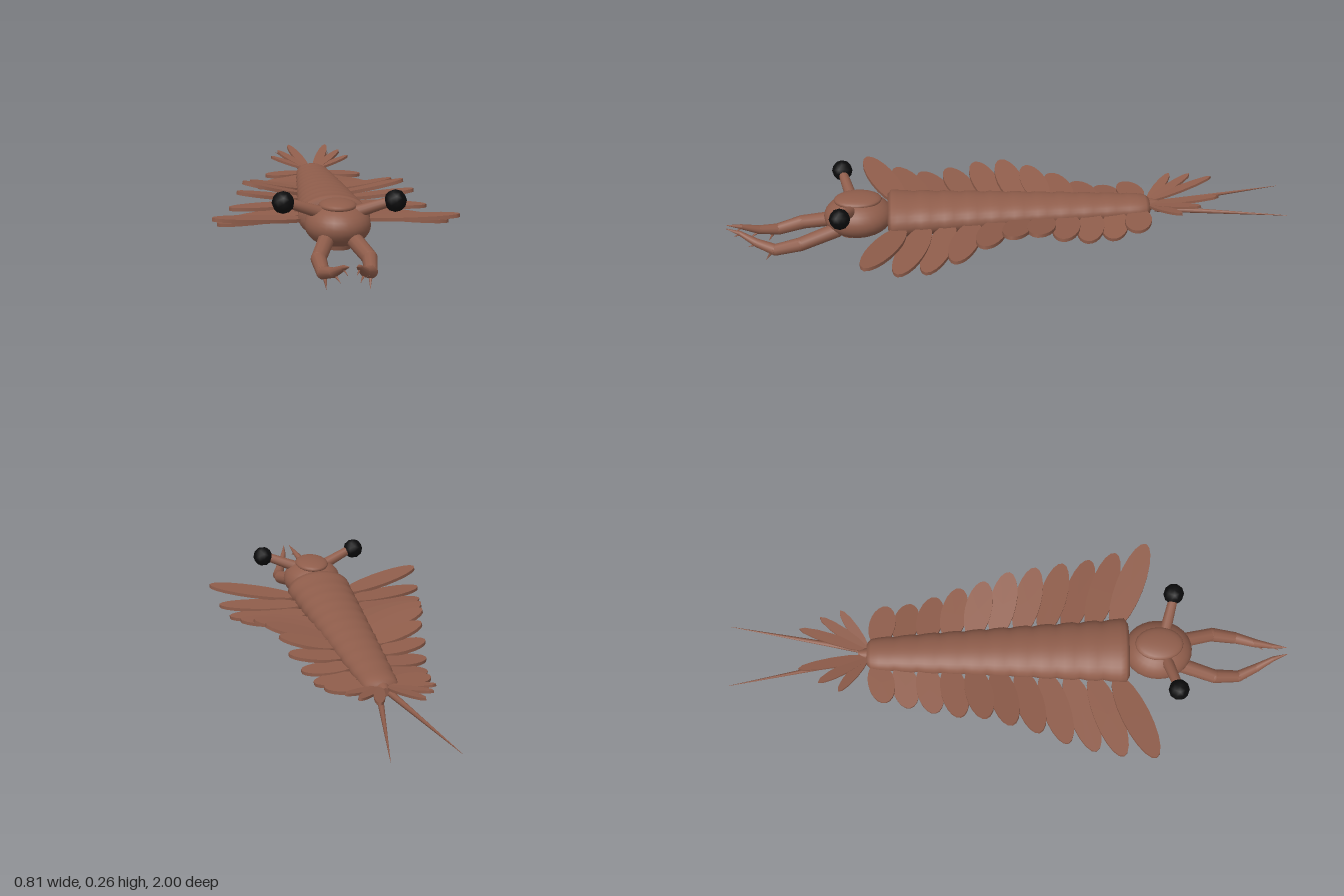
import * as THREE from 'three';

const shell = new THREE.MeshStandardMaterial({ color: 0x8f5d4b });
shell.name = 'brownShell';
const eyeBlack = new THREE.MeshStandardMaterial({ color: 0x0b0b0c });
eyeBlack.name = 'eyeBlack';

const V = (x, y, z) => new THREE.Vector3(x, y, z);

function add(parent, name, geometry, material = shell) {
  const mesh = new THREE.Mesh(geometry, material);
  mesh.name = name;
  parent.add(mesh);
  return mesh;
}

// Tapered limb between two points
function limb(parent, name, a, b, ra, rb, sides = 12) {
  const d = b.clone().sub(a);
  const mesh = add(parent, name, new THREE.CylinderGeometry(rb, ra, d.length(), sides));
  mesh.position.copy(a).add(b).multiplyScalar(0.5);
  mesh.quaternion.setFromUnitVectors(V(0, 1, 0), d.normalize());
  return mesh;
}

// Thin oval blade lying flat between root and tip
function blade(parent, name, root, tip, halfWidth, thickness, sides = 20) {
  const x = tip.clone().sub(root);
  const len = x.length();
  x.normalize();
  const z = x.clone().cross(V(0, 1, 0)).normalize();
  const y = z.clone().cross(x);
  const g = new THREE.CylinderGeometry(1, 1, thickness, sides);
  g.scale(len / 2, 1, halfWidth);
  const mesh = add(parent, name, g);
  mesh.quaternion.setFromRotationMatrix(new THREE.Matrix4().makeBasis(x, y, z));
  mesh.position.copy(root).add(tip).multiplyScalar(0.5);
  return mesh;
}

export function createModel() {
  const model = new THREE.Group();
  model.name = 'swimmingArthropod';

  // Segmented trunk, flattened and tapering to the tail
  const profile = [new THREE.Vector2(0, -0.515), new THREE.Vector2(0.04, -0.51)];
  const segments = 11;
  for (let i = 0; i < segments; i++) {
    const z0 = -0.495 + i * 0.0825;
    for (const [f, k] of [[0, 0.97], [0.35, 1.02], [0.75, 1.03]]) {
      const t = (i + f) / segments;
      profile.push(new THREE.Vector2((0.058 + 0.058 * Math.pow(t, 0.9)) * k, z0 + f * 0.0825));
    }
  }
  profile.push(new THREE.Vector2(0.12, 0.412), new THREE.Vector2(0.1, 0.425), new THREE.Vector2(0, 0.43));
  const trunkShape = new THREE.LatheGeometry(profile, 32);
  trunkShape.rotateX(Math.PI / 2);
  trunkShape.scale(1, 0.6, 1);
  add(model, 'trunk', trunkShape).position.y = 0.135;
  limb(model, 'tailStub', V(0, 0.138, -0.5), V(0, 0.138, -0.54), 0.024, 0.016);

  // Head, top shield and mouth disc
  const head = add(model, 'head', new THREE.SphereGeometry(1, 28, 18));
  head.scale.set(0.108, 0.073, 0.122);
  head.position.set(0, 0.135, 0.53);
  const shield = add(model, 'headShield', new THREE.SphereGeometry(1, 24, 12));
  shield.scale.set(0.062, 0.02, 0.085);
  shield.position.set(0, 0.197, 0.53);
  const mouth = add(model, 'mouthDisc', new THREE.CylinderGeometry(0.045, 0.038, 0.02, 16));
  mouth.position.set(0, 0.072, 0.56);

  // Side flaps: outer reach, tip position along the body, wave of tip heights
  const reach = [0.405, 0.387, 0.365, 0.342, 0.312, 0.288, 0.258, 0.244, 0.22, 0.197, 0.182];
  const tipZ = [0.505, 0.395, 0.3, 0.2, 0.1, 0.005, -0.085, -0.175, -0.265, -0.355, -0.44];
  const tipY = [0.152, 0.112, 0.102, 0.127, 0.165, 0.184, 0.172, 0.143, 0.117, 0.11, 0.13];

  for (const s of [1, -1]) {
    const side = new THREE.Group();
    side.name = s > 0 ? 'leftSide' : 'rightSide';
    model.add(side);

    reach.forEach((r, i) => {
      const t = i / (reach.length - 1);
      const root = V(s * (0.09 - 0.055 * t), 0.122 + 0.012 * t, 0.375 - 0.85 * t);
      blade(side, 'sideFlap', root, V(s * r, tipY[i], tipZ[i]), 0.05 - 0.003 * t, 0.012);
    });

    // Stalked eye
    limb(side, 'eyeStalk', V(s * 0.055, 0.178, 0.555), V(s * 0.17, 0.22, 0.588), 0.021, 0.016);
    const eye = add(side, 'eye', new THREE.IcosahedronGeometry(0.037, 1), eyeBlack);
    eye.position.set(s * 0.18, 0.22, 0.588);

    // Jointed grasping arm with joint balls
    const joints = [
      [0.045, 0.1, 0.61, 0.027], [0.08, 0.068, 0.735, 0.025], [0.074, 0.045, 0.825, 0.021],
      [0.048, 0.06, 0.89, 0.016], [0.024, 0.088, 0.95, 0.009], [0.012, 0.102, 1.0, 0.001],
    ];
    for (let i = 0; i < joints.length - 1; i++) {
      const [ax, ay, az, ar] = joints[i];
      const [bx, by, bz, br] = joints[i + 1];
      limb(side, 'graspingArm', V(s * ax, ay, az), V(s * bx, by, bz), ar, br, 10);
      const ball = add(side, 'armJoint', new THREE.SphereGeometry(ar, 10, 8));
      ball.position.set(s * ax, ay, az);
    }
    // Spines under the arm
    limb(side, 'armSpine', V(s * 0.07, 0.035, 0.84), V(s * 0.067, 0, 0.862), 0.007, 0.0005, 6);
    limb(side, 'armSpine', V(s * 0.046, 0.055, 0.89), V(s * 0.03, 0.035, 0.925), 0.006, 0.0005, 6);
    limb(side, 'armSpine', V(s * 0.026, 0.086, 0.945), V(s * 0.014, 0.07, 0.975), 0.005, 0.0005, 6);

    // Raised tail fan and long trailing spine
    for (const [x, y, z] of [[0.152, 0.178, -0.605], [0.122, 0.19, -0.675], [0.075, 0.201, -0.745]]) {
      blade(side, 'tailFanBlade', V(s * 0.012, 0.142, -0.505), V(s * x, y, z), 0.019, 0.009, 12);
    }
    limb(side, 'tailSpine', V(s * 0.018, 0.13, -0.53), V(s * 0.112, 0.135, -1), 0.012, 0.0005, 8);
  }
  return model;
}
